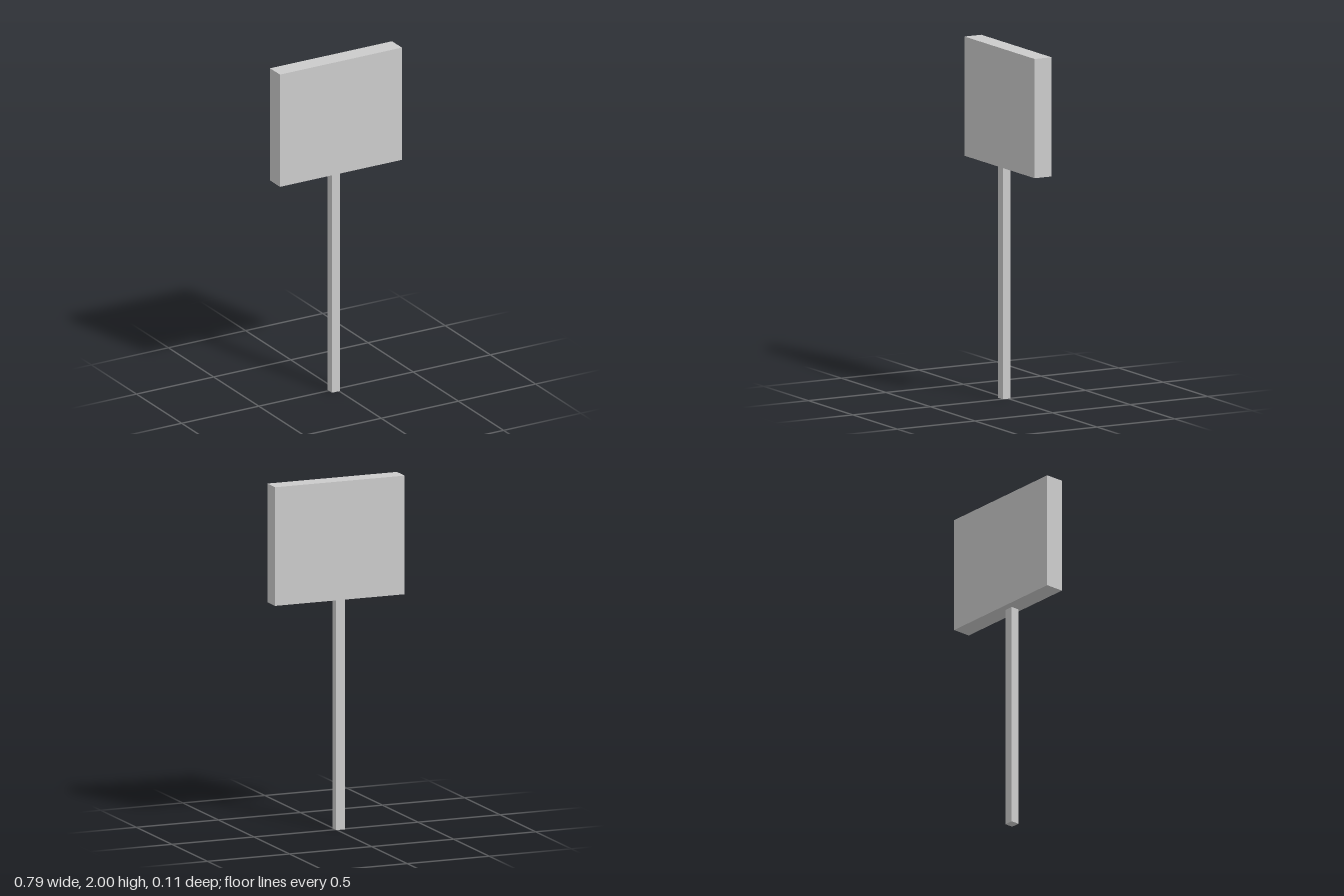
import * as THREE from 'three';

export function createModel() {
  const group = new THREE.Group();
  const material = new THREE.MeshStandardMaterial({ color: 0xcccccc, flatShading: true });

  const addBox = (name, size, position) => {
    const mesh = new THREE.Mesh(new THREE.BoxGeometry(...size), material);
    mesh.name = name;
    mesh.position.set(...position);
    group.add(mesh);
  };

  const panelBottom = 1.322;

  // Sign board
  addBox('signBoard', [0.79, 2 - panelBottom, 0.109], [0, (2 + panelBottom) / 2, 0]);

  // Square post, set slightly off centre under the board
  addBox('post', [0.053, panelBottom, 0.05], [-0.021, panelBottom / 2, 0.011]);

  return group;
}
